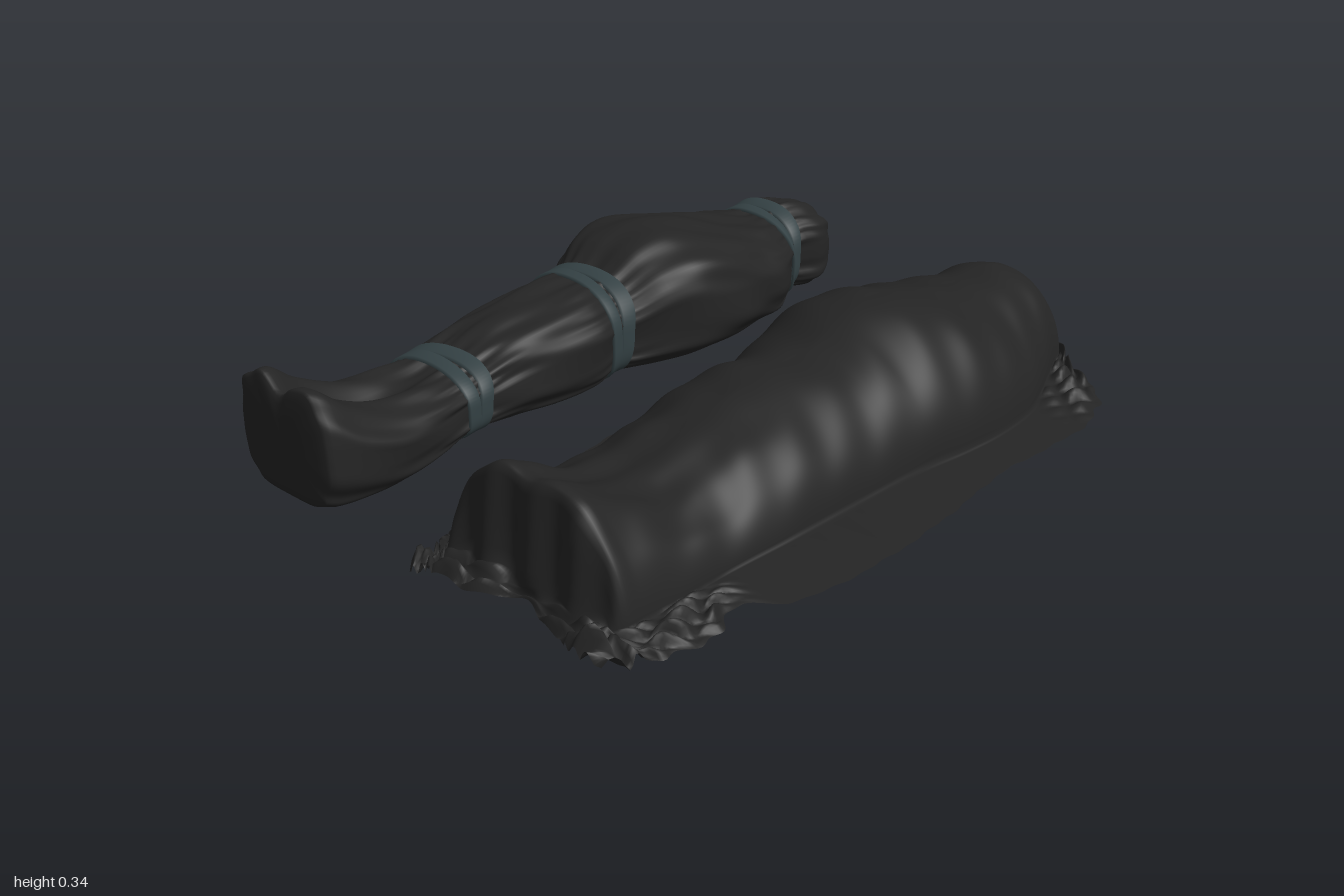
import * as THREE from 'three';

const clothMat = new THREE.MeshStandardMaterial({ color: 0x242424, side: THREE.DoubleSide });
const bandMat = new THREE.MeshStandardMaterial({ color: 0x344144, side: THREE.DoubleSide });

// Smooth (Hermite) lookup of the columns of a station table at z
function sample(table, z) {
  const n = table.length - 1;
  let i = 0;
  while (i < n - 1 && z > table[i + 1][0]) i++;
  const p = table[i], q = table[i + 1];
  const o = table[Math.max(i - 1, 0)], r = table[Math.min(i + 2, n)];
  const h = q[0] - p[0], t = THREE.MathUtils.clamp((z - p[0]) / h, 0, 1);
  const t2 = t * t, t3 = t2 * t;
  return p.slice(1).map((a, k) => {
    const b = q[k + 1];
    const ma = (b - o[k + 1]) / (q[0] - o[0]) * h, mb = (r[k + 1] - a) / (r[0] - p[0]) * h;
    return (2 * t3 - 3 * t2 + 1) * a + (t3 - 2 * t2 + t) * ma + (3 * t2 - 2 * t3) * b + (t3 - t2) * mb;
  });
}

// Surface from point(i, j): i runs around or across, j runs along
function grid(name, point, ni, nj, wrap, material) {
  const pos = [], idx = [], cols = wrap ? ni : ni + 1;
  for (let j = 0; j <= nj; j++) for (let i = 0; i < cols; i++) pos.push(...point(i / ni, j / nj));
  for (let j = 0; j < nj; j++) for (let i = 0; i < ni; i++) {
    const a = j * cols + i, b = j * cols + (i + 1) % cols;
    idx.push(a, b, b + cols, a, b + cols, a + cols);
  }
  const g = new THREE.BufferGeometry();
  g.setAttribute('position', new THREE.Float32BufferAttribute(pos, 3));
  g.setIndex(idx);
  g.computeVertexNormals();
  const m = new THREE.Mesh(g, material);
  m.name = name;
  return m;
}

const bump = (x, c, w) => Math.exp(-(((x - c) / w) ** 2));
const spow = (v, e) => Math.sign(v) * Math.abs(v) ** e;

// Wrapped figure stations: z, left x, right x, top, underside
const WRAPPED = [
  [-0.95, -0.57, -0.39, 0.17, 0.05], [-0.92, -0.59, -0.365, 0.22, 0.02], [-0.85, -0.60, -0.335, 0.25, 0.005],
  [-0.78, -0.61, -0.345, 0.26, 0.01], [-0.73, -0.615, -0.35, 0.245, 0.025], [-0.68, -0.635, -0.31, 0.245, 0.015],
  [-0.60, -0.69, -0.265, 0.26, 0], [-0.50, -0.72, -0.245, 0.28, 0], [-0.35, -0.735, -0.215, 0.32, 0],
  [-0.22, -0.71, -0.22, 0.34, 0], [-0.12, -0.68, -0.26, 0.315, 0], [-0.04, -0.64, -0.30, 0.265, 0.005],
  [0.01, -0.635, -0.315, 0.255, 0.01], [0.10, -0.63, -0.295, 0.26, 0], [0.22, -0.62, -0.30, 0.25, 0],
  [0.35, -0.61, -0.31, 0.23, 0.01], [0.50, -0.605, -0.32, 0.185, 0.02], [0.62, -0.61, -0.295, 0.185, 0.01],
  [0.75, -0.63, -0.267, 0.20, 0], [0.86, -0.64, -0.26, 0.25, 0], [0.93, -0.62, -0.27, 0.31, 0],
  [0.96, -0.60, -0.28, 0.32, 0.01],
];
const BANDS = [-0.73, 0.01, 0.5];

function wrappedPoint(t, z, off = 0, scale = 1, dz = 0) {
  const [xl, xr, top, low] = sample(WRAPPED, z);
  const ang = t * Math.PI * 2, c = Math.cos(ang), s = Math.sin(ang);
  const mid = low + (top - low) * 0.55;
  const tie = BANDS.reduce((m, b) => Math.max(m, bump(z, b, 0.12)), 0);
  // soft folds, with finer pleats gathered at the bands
  let r = 0.004 * Math.sin(7 * ang + 9 * z) + 0.003 * Math.sin(11 * ang - 14 * z + 2 * Math.sin(6 * z))
    + 0.003 * tie * Math.sin(23 * ang + 4 * z);
  if (off) r = off;
  const ex = s > 0 ? 0.9 : 0.4;
  let x = spow(c, ex) * ((xr - xl) / 2 + r), y;
  if (s >= 0) y = mid + s ** 0.85 * (top - mid + r);
  else {
    y = mid + spow(s, 0.5) * (mid - low);
    x *= 1 - 0.1 * s * s;
  }
  // valley between the legs and feet
  const leg = THREE.MathUtils.smoothstep(z, 0.05, 0.9);
  if (s > 0 && !off) y -= (0.015 + 0.045 * leg * leg) * leg * bump(x, 0.0, 0.045) * s;
  const cx = (xl + xr) / 2, cy = (top + low) / 2;
  return [cx + x * scale, Math.max(0, cy + (y - cy) * scale), z + dz];
}

function wrappedFigure() {
  const g = new THREE.Group();
  g.name = 'wrappedFigure';
  const caps = [[0, 0.012], [0.45, 0.012], [0.8, 0.009], [0.94, 0.004]];
  const n = 150, total = n + 8;
  g.add(grid('wrapping', (t, v) => {
    const j = Math.round(v * total) - 4;
    const z = -0.95 + 1.91 * THREE.MathUtils.clamp(j / n, 0, 1);
    if (j < 0) return wrappedPoint(t, z, 0, caps[j + 4][0], -caps[j + 4][1]);
    if (j > n) return wrappedPoint(t, z, 0, caps[n + 4 - j][0], caps[n + 4 - j][1]);
    return wrappedPoint(t, z);
  }, 112, total, true, clothMat));
  // each tie is two overlapping strips
  BANDS.forEach((b, k) => {
    for (const side of [-1, 1]) {
      g.add(grid('tieBand', (t, v) => {
        const j = Math.round(v * 3);
        const lean = 0.012 * Math.cos(t * Math.PI * 2 + k) + side * 0.006 * Math.sin(t * Math.PI * 4);
        const z = b + side * 0.02 + lean + [-0.019, -0.017, 0.017, 0.019][j];
        return wrappedPoint(t, z, j % 3 ? 0.011 : 0.001);
      }, 72, 3, true, bandMat));
    }
  });
  return g;
}

// Sheet stations: z, hem left x, hem right x, body half width, top
const SHEET = [
  [-0.985, 0.08, 0.30, 0.05, 0.02], [-0.96, -0.02, 0.33, 0.10, 0.09], [-0.90, -0.085, 0.42, 0.17, 0.20],
  [-0.80, -0.13, 0.59, 0.21, 0.255], [-0.70, -0.15, 0.68, 0.25, 0.25], [-0.60, -0.15, 0.72, 0.29, 0.255],
  [-0.50, -0.14, 0.725, 0.32, 0.275], [-0.35, -0.115, 0.715, 0.33, 0.31], [-0.22, -0.11, 0.705, 0.32, 0.325],
  [-0.10, -0.115, 0.715, 0.30, 0.295], [0.0, -0.12, 0.725, 0.29, 0.262], [0.20, -0.12, 0.735, 0.28, 0.255],
  [0.40, -0.10, 0.725, 0.27, 0.22], [0.55, -0.075, 0.69, 0.26, 0.187], [0.62, -0.06, 0.62, 0.26, 0.19],
  [0.72, -0.05, 0.65, 0.26, 0.225], [0.82, -0.04, 0.65, 0.26, 0.28], [0.865, -0.02, 0.64, 0.26, 0.297],
  [0.885, 0.0, 0.63, 0.25, 0.26], [0.90, 0.0, 0.625, 0.24, 0.09], [0.92, 0.015, 0.61, 0.22, 0.035],
  [0.985, 0.03, 0.58, 0.20, 0.015],
];

function sheetPoint(u, z) {
  const [xl, xr, half, top] = sample(SHEET, z);
  const s = Math.abs(u), sg = Math.sign(u), core = 0.72, cx = 0.28;
  const hem = sg > 0 ? xr - cx : cx - xl;
  const a = Math.min(half, hem * 0.92);
  const ends = Math.max(THREE.MathUtils.smoothstep(z, 0.55, 0.75), THREE.MathUtils.smoothstep(-z, 0.5, 0.75));
  let x, y;
  if (s < core) {
    const w = s / core, ang = w * Math.PI / 2;
    x = a * (0.8 * Math.sin(ang) + 0.2 * w);
    y = 0.018 + Math.max(top - 0.018, 0) * Math.cos(ang) ** 0.85;
    // draped folds running down the sides, and along the shins
    const side = Math.sin(ang * 2);
    y += side * (0.006 * Math.sin(17 * z + 5 * u) + 0.004 * Math.sin(41 * z - 8 * u));
    y += 0.005 * THREE.MathUtils.smoothstep(z, 0.1, 0.7) * Math.sin(26 * u) * (1 - w);
    y -= 0.03 * THREE.MathUtils.smoothstep(z, 0.5, 0.85) * bump(u, 0, 0.13) * Math.min(1, top / 0.2);
  } else {
    // skirt lying on the ground, crumpled at both ends
    const w = (s - core) / (1 - core);
    x = a + (hem - a) * w;
    y = 0.018 * (1 - w) + 0.004;
    y += ends * 0.04 * Math.sin(Math.PI * Math.min(1, w * 0.9 + 0.1)) * Math.abs(Math.sin(43 * z + 9 * w) * Math.sin(19 * z - 4 * w + sg));
    x += w * (0.004 + 0.012 * ends) * Math.sin(57 * z + sg) * Math.cos(23 * z);
  }
  x = cx + sg * x;
  // two gathered lobes at the foot end, crumpled rim at the head end
  let zz = z;
  if (z > 0.9) {
    const lobe = 1 - 0.8 * bump(x, 0.3, 0.1);
    zz = 0.9 + (z - 0.9) * lobe * (1 + 0.12 * Math.sin(40 * x));
    y += 0.045 * lobe * Math.abs(Math.sin(31 * x + 50 * z) * Math.sin(70 * z)) * THREE.MathUtils.smoothstep(z, 0.9, 0.93);
  } else if (z < -0.92) {
    zz += (-0.92 - z) * 0.25 * Math.sin(60 * x);
    y += 0.012 * Math.abs(Math.sin(38 * x));
  }
  // pleats on the upright face over the feet
  zz += 0.012 * Math.sin(48 * x) * bump(z, 0.9, 0.02);
  return [x, Math.max(0.002, y), zz];
}

function coveredFigure() {
  const g = new THREE.Group();
  g.name = 'coveredFigure';
  g.add(grid('coveringSheet', (t, v) => sheetPoint(1 - 2 * t, -0.985 + 1.97 * v), 140, 230, false, clothMat));
  return g;
}

export function createModel() {
  const model = new THREE.Group();
  model.name = 'shroudedFigures';
  model.add(wrappedFigure(), coveredFigure());
  return model;
}
